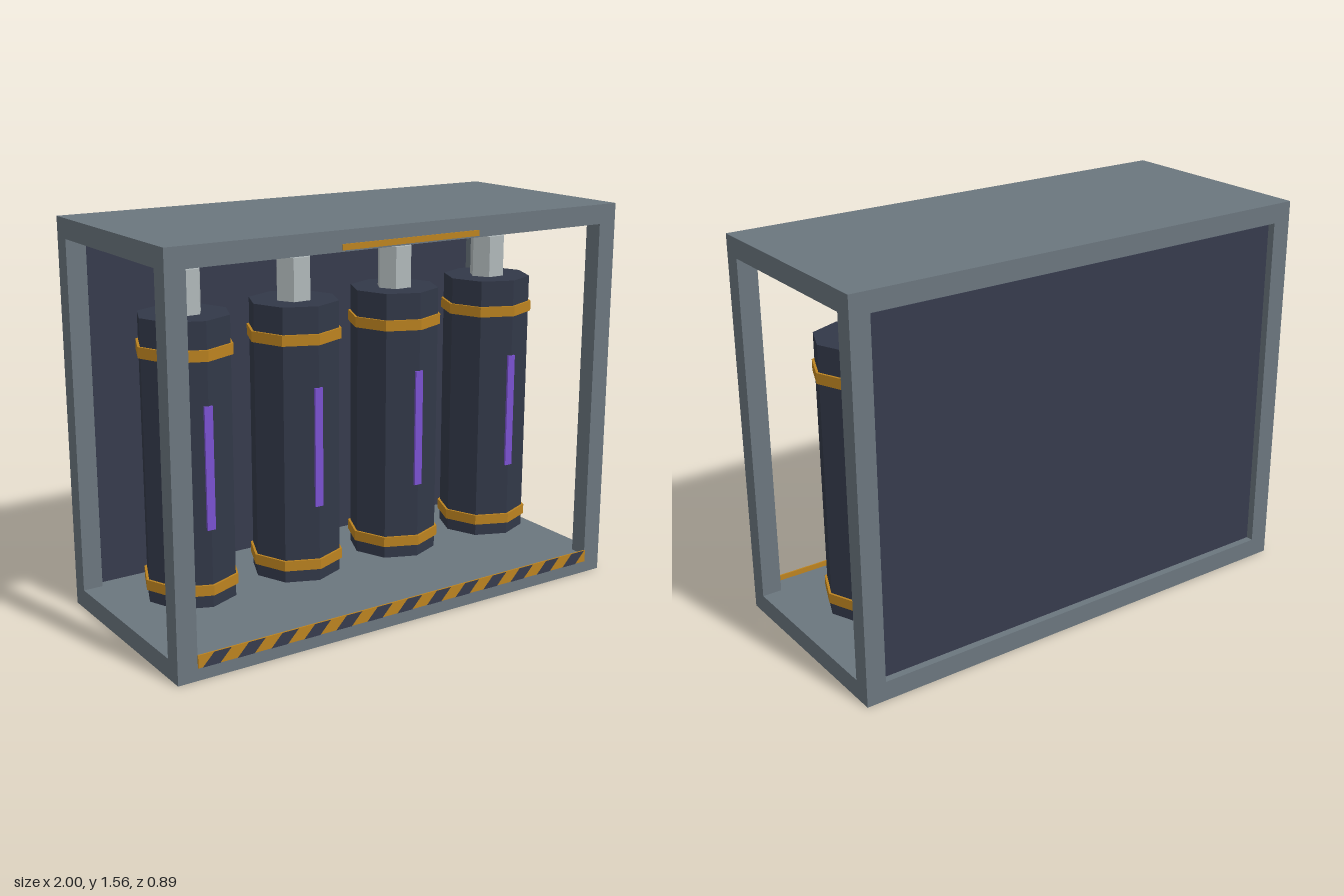
import * as THREE from 'three';

const mat = (name, color, extra = {}) => {
  const m = new THREE.MeshStandardMaterial({ color, ...extra });
  m.name = name;
  return m;
};

export function createModel() {
  const steel = mat('grey steel', 0x6b767e);
  const dark = mat('dark panel', 0x363b4d);
  const shell = mat('dark shell', 0x323848, { flatShading: true });
  const amber = mat('amber', 0xbc8320, { flatShading: true });
  const silver = mat('silver', 0xb0b8ba, { flatShading: true });
  const violet = mat('violet glow', 0x7a52d0);

  const model = new THREE.Group();
  model.name = 'capacitorRack';

  const add = (parent, name, geometry, material, x = 0, y = 0, z = 0) => {
    const mesh = new THREE.Mesh(geometry, material);
    mesh.name = name;
    mesh.position.set(x, y, z);
    parent.add(mesh);
    return mesh;
  };
  // Box given by its centre x, z and its bottom and top
  const box = (parent, name, material, w, y0, y1, d, x = 0, z = 0) =>
    add(parent, name, new THREE.BoxGeometry(w, y1 - y0, d), material, x, (y0 + y1) / 2, z);
  // Faceted upright prism
  const prism = (parent, name, material, r, y0, y1, sides, turn = 0) => {
    const g = new THREE.CylinderGeometry(r, r, y1 - y0, sides).rotateY(turn);
    return add(parent, name, g, material, 0, (y0 + y1) / 2, 0);
  };

  // Frame: floor, roof and four corner posts
  const frame = new THREE.Group();
  frame.name = 'frame';
  model.add(frame);
  const H = 1.56, D = 0.443, T = 0.078;
  box(frame, 'floor', steel, 2, 0, T, D * 2);
  box(frame, 'roof', steel, 2, H - T, H, D * 2);
  for (const sx of [-1, 1]) for (const sz of [-1, 1]) {
    box(frame, 'post', steel, 0.08, T, H - T, 0.074, sx * 0.96, sz * (D - 0.037));
  }

  // Back panel, set slightly inside the frame
  box(model, 'backPanel', dark, 1.82, 0.085, 1.473, 0.03, 0, -0.407);

  // Four capacitors
  for (let i = 0; i < 4; i++) {
    const cell = new THREE.Group();
    cell.name = 'capacitor';
    cell.position.x = -0.71 + i * 0.4733;
    model.add(cell);
    prism(cell, 'body', shell, 0.178, 0.137, 1.235, 8);
    prism(cell, 'lowerBand', amber, 0.188, 0.187, 0.228, 8);
    prism(cell, 'upperBand', amber, 0.188, 1.088, 1.13, 8);
    prism(cell, 'terminal', silver, 0.073, 1.235, 1.403, 6, Math.PI / 6);
    box(cell, 'chargeStrip', violet, 0.034, 0.445, 0.92, 0.009, 0, 0.1755);
  }

  // Bus bar across the terminals, and roof marker
  box(model, 'busBar', amber, 1.505, 1.401, 1.43, 0.045);
  box(model, 'roofMarker', amber, 0.61, 1.488, 1.51, 0.006, 0, D + 0.002);

  // Hazard strip: amber plate with slanted dark stripes
  const hazard = new THREE.Group();
  hazard.name = 'hazardStrip';
  model.add(hazard);
  const y0 = 0.05, y1 = 0.1, pitch = 1.84 / 13, w = pitch / 2, slant = 0.048;
  box(hazard, 'hazardPlate', amber, 1.84, y0, y1, 0.006, 0, D + 0.002);
  for (let i = 0; i < 13; i++) {
    const x = -0.904 + i * pitch;
    const stripe = new THREE.Shape([
      new THREE.Vector2(x, y0),
      new THREE.Vector2(x + w, y0),
      new THREE.Vector2(Math.min(x + w + slant, 0.92), y1),
      new THREE.Vector2(x + slant, y1),
    ]);
    add(hazard, 'hazardStripe', new THREE.ShapeGeometry(stripe), dark, 0, 0, D + 0.007);
  }

  return model;
}
